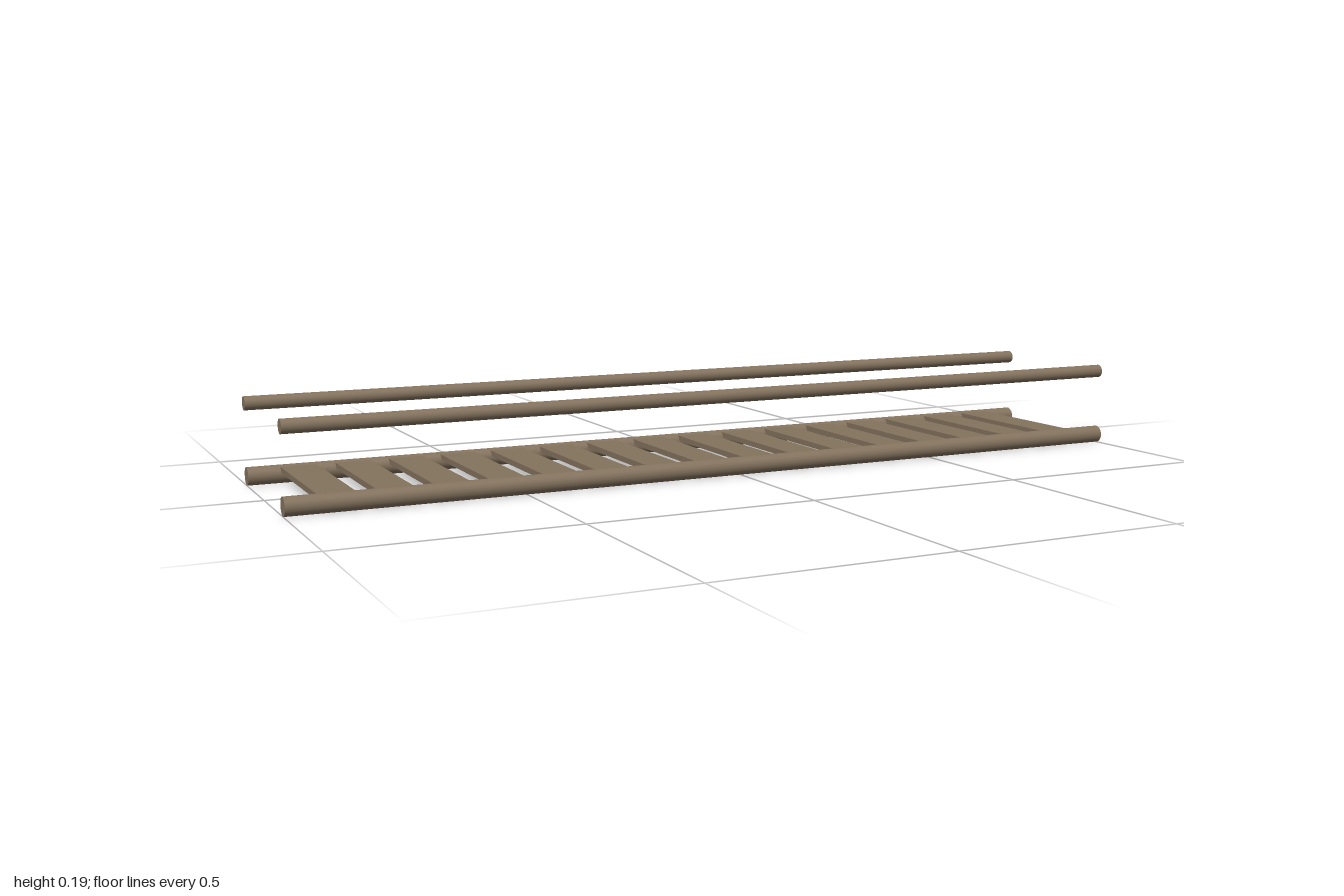
import * as THREE from 'three';

export function createModel() {
  const group = new THREE.Group();
  const wood = new THREE.MeshStandardMaterial({ color: 0x84735e });
  wood.name = 'weathered wood';

  // Long round bar running along x
  function addBar(name, radius, y, z) {
    const geometry = new THREE.CylinderGeometry(radius, radius, 2, 20);
    geometry.rotateZ(Math.PI / 2);
    const bar = new THREE.Mesh(geometry, wood);
    bar.name = name;
    bar.position.set(0, y, z);
    group.add(bar);
  }

  // Thick side beams below, thinner handrails above
  for (const side of [1, -1]) {
    const label = side > 0 ? 'front' : 'back';
    addBar(label + 'Beam', 0.02, 0.02, side * 0.178);
    addBar(label + 'Handrail', 0.0152, 0.177, side * 0.178);
  }

  // Evenly spaced planks, sunk into the beams at both ends
  const planks = new THREE.Group();
  planks.name = 'planks';
  const plankGeometry = new THREE.BoxGeometry(0.077, 0.0125, 0.356);
  for (let i = 0; i < 16; i++) {
    const plank = new THREE.Mesh(plankGeometry, wood);
    plank.name = 'plank' + (i + 1);
    plank.position.set(-0.892 + i * 0.118, 0.0305, 0);
    planks.add(plank);
  }
  group.add(planks);

  return group;
}
